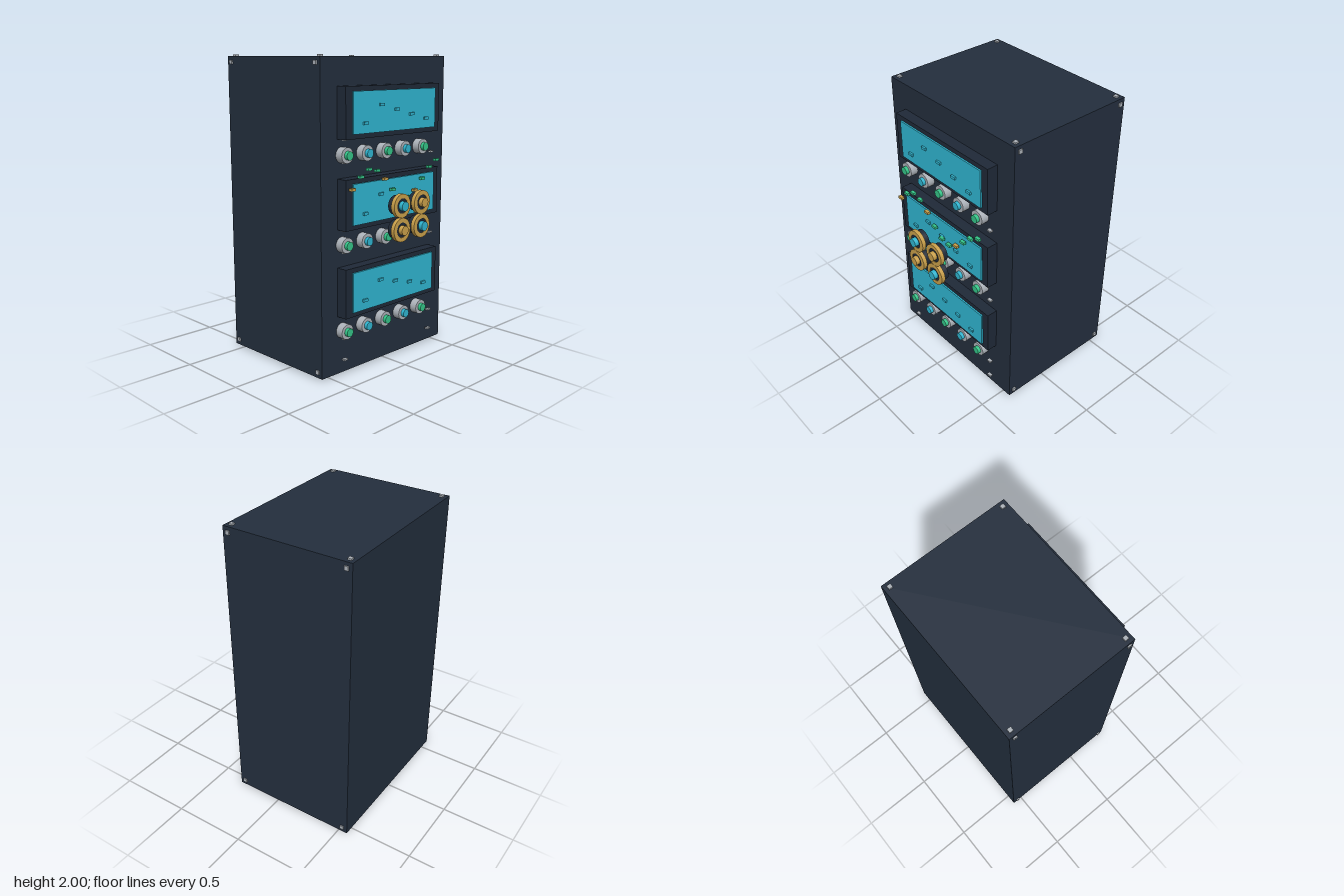
import * as THREE from 'three';

const mat = (name, color, extra) => Object.assign(new THREE.MeshStandardMaterial({ color, ...extra }), { name });

export function createModel() {
  const navy = mat('navy', 0x232e3d);
  const darkNavy = mat('dark navy', 0x1f2937);
  const cyan = mat('cyan', 0x2fb5d0);
  const green = mat('green', 0x34c488);
  const gold = mat('gold', 0xcaa04a);
  const grey = mat('grey', 0xacb2b9);

  const model = new THREE.Group();
  model.name = 'controlCabinet';

  const add = (name, geo, material, x, y, z, parent = model) => {
    const mesh = new THREE.Mesh(geo, material);
    mesh.name = name;
    mesh.position.set(x, y, z);
    parent.add(mesh);
    return mesh;
  };
  const box = (name, m, w, h, d, x, y, z) => add(name, new THREE.BoxGeometry(w, h, d), m, x, y, z);
  // Disc facing the front, spanning z0 to z1
  const disc = (name, m, r, z0, z1, parent) =>
    add(name, new THREE.CylinderGeometry(r, r, z1 - z0, 32).rotateX(Math.PI / 2), m, 0, 0, (z0 + z1) / 2, parent);
  const groupAt = (name, x, y) => {
    const g = new THREE.Group();
    g.name = name;
    g.position.set(x, y, 0);
    model.add(g);
    return g;
  };

  // Cabinet body
  box('cabinet', navy, 1.14, 1.976, 0.885, 0, 1.002, -0.1275);

  // Corner studs on the top, bottom and both sides
  for (const z of [0.277, -0.533]) {
    for (const s of [-1, 1]) {
      for (const y of [0.007, 1.993]) box('cornerStud', grey, 0.026, 0.014, 0.026, s * 0.533, y, z);
      for (const y of [0.052, 1.954]) box('sideStud', grey, 0.014, 0.026, 0.026, s * 0.572, y, z);
    }
  }

  // Three display bays, each with a screen, markers and a row of knobs
  const knobX = [-0.398, -0.222, -0.046, 0.13, 0.305];
  const markers = [[-0.28, 0], [-0.14, 0.106], [0, 0.071], [0.14, 0.035], [0.28, 0]];
  for (const base of [0.39, 0.945, 1.5]) {
    box('displayFrame', darkNavy, 0.865, 0.315, 0.075, -0.002, base + 0.159, 0.3515);
    box('screen', cyan, 0.76, 0.256, 0.014, 0, base + 0.159, 0.393);
    for (const [x, dy] of markers) box('screenMarker', cyan, 0.038, 0.018, 0.016, x, base + 0.094 + dy, 0.404);
    knobX.forEach((x, i) => {
      const knob = groupAt('knob', x, base - 0.095);
      disc('knobBase', grey, 0.049, 0.31, 0.367, knob);
      disc('knobCap', i % 2 ? cyan : green, 0.027, 0.36, 0.39, knob);
    });
  }

  // Panel screws up both edges, partly buried behind the displays
  for (let i = 0; i < 12; i++)
    for (const s of [-1, 1]) box('panelScrew', grey, 0.032, 0.011, 0.022, s * 0.407, 0.112 + i * 0.1388, 0.35);

  // Signal lights floating in a wave
  const wave = [1.205, 1.275, 1.315, 1.3, 1.24, 1.165, 1.11, 1.1, 1.135, 1.205, 1.275, 1.315];
  wave.forEach((y, i) => box('signalLight', i % 4 ? green : gold, 0.037, 0.017, 0.022, -0.408 + i * 0.0713, y, 0.42));

  // Four large dials with a gold collar
  const ringProfile = [[0.048, 0], [0.076, 0], [0.076, 0.027], [0.048, 0.027], [0.048, 0]];
  for (const [x, y, cap] of [[-0.096, 1.081, cyan], [0.092, 1.081, gold], [-0.096, 0.928, gold], [0.092, 0.928, cyan]]) {
    const dial = groupAt('dial', x, y);
    disc('dialBody', darkNavy, 0.061, 0.479, 0.525, dial);
    disc('dialFace', darkNavy, 0.05, 0.52, 0.54, dial);
    const shape = new THREE.Shape().absarc(0, 0, ringProfile[1][0], 0, Math.PI * 2);
    shape.holes.push(new THREE.Path().absarc(0, 0, ringProfile[0][0], 0, Math.PI * 2, true));
    const ring = new THREE.ExtrudeGeometry(shape, { depth: ringProfile[2][1], bevelEnabled: false, curveSegments: 20 });
    add('dialCollar', ring, gold, 0, 0, 0.517, dial);
    disc('dialCap', cap, 0.03, 0.535, 0.569, dial);
  }

  return model;
}
